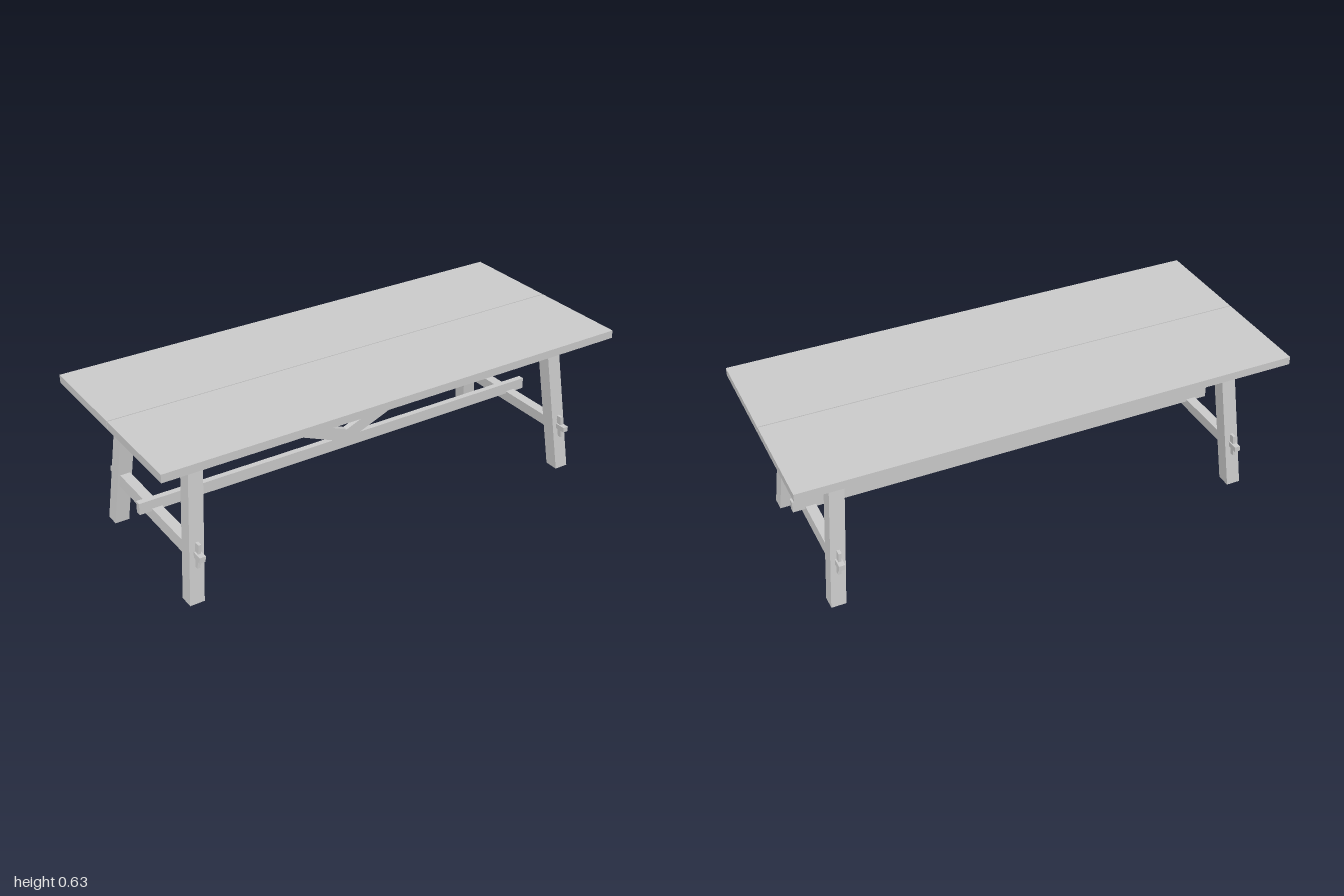
import * as THREE from 'three';

const TOP = 0.598;               // underside of the table top
const LEAN = -0.058 / TOP;       // inward lean of the legs per unit of height
const material = new THREE.MeshStandardMaterial({ color: 0xcccccc, flatShading: true });
const legX = (y) => 0.863 + LEAN * y;
const innerZ = (y) => 0.289 + LEAN * y;

function add(parent, name, geometry) {
  const mesh = new THREE.Mesh(geometry, material);
  mesh.name = name;
  parent.add(mesh);
  return mesh;
}

function box(x0, x1, y0, y1, z0, z1) {
  return new THREE.BoxGeometry(x1 - x0, y1 - y0, z1 - z0)
    .translate((x0 + x1) / 2, (y0 + y1) / 2, (z0 + z1) / 2);
}

// Block between two heights that leans in x with the legs; zRange gives its z limits at a height
function leaning(width, y0, y1, zRange) {
  const g = new THREE.BoxGeometry(width, y1 - y0, 1).translate(0, (y0 + y1) / 2, 0);
  const p = g.attributes.position;
  for (let i = 0; i < p.count; i++) {
    const y = p.getY(i);
    const [near, far] = zRange(y);
    p.setX(i, p.getX(i) + legX(y));
    p.setZ(i, p.getZ(i) > 0 ? far : near);
  }
  g.computeVertexNormals();
  return g;
}

// Trestle at the +x end; the other end is the same, turned half round
function trestle(name) {
  const group = new THREE.Group();
  group.name = name;
  const between = (y) => [-innerZ(y), innerZ(y)];
  add(group, 'upperCrossbar', leaning(0.042, 0.547, TOP, between));
  add(group, 'lowerCrossbar', leaning(0.042, 0.175, 0.223, between));
  for (const s of [1, -1]) {
    const range = (a, b) => (s > 0 ? [a, b] : [-b, -a]);
    add(group, 'leg', leaning(0.059, 0, TOP, (y) => range(innerZ(y), innerZ(y) + 0.059)));
    // through tenon locked by an upright wedge
    add(group, 'tenon', leaning(0.024, 0.188, 0.21, () => range(0.26, 0.374)));
    add(group, 'wedge', leaning(0.012, 0.151, 0.247, () => range(0.326, 0.35)));
  }
  return group;
}

export function createModel() {
  const model = new THREE.Group();
  model.name = 'trestleTable';

  // Two top boards with a thin gap
  add(model, 'frontBoard', box(-1, 1, TOP, 0.631, 0.002, 0.425));
  add(model, 'backBoard', box(-1, 1, TOP, 0.631, -0.425, -0.002));

  // Trestles
  model.add(trestle('leftTrestle'));
  const right = trestle('rightTrestle');
  right.rotation.y = Math.PI;
  model.add(right);

  // Long stretcher notched over the lower crossbars
  add(model, 'stretcher', box(-0.913, 0.913, 0.213, 0.261, -0.0125, 0.0125));

  // Diagonal braces meeting at the middle of the stretcher
  for (const s of [1, -1]) {
    const shape = new THREE.Shape([
      [0, 0.261], [0.064, 0.261], [0.785, 0.556], [0.785, TOP], [0.743, TOP], [0, 0.291],
    ].map(([x, y]) => new THREE.Vector2(s * x, y)));
    const g = new THREE.ExtrudeGeometry(shape, { depth: 0.025, bevelEnabled: false });
    add(model, s > 0 ? 'leftBrace' : 'rightBrace', g.translate(0, 0, -0.0125));
  }
  return model;
}
